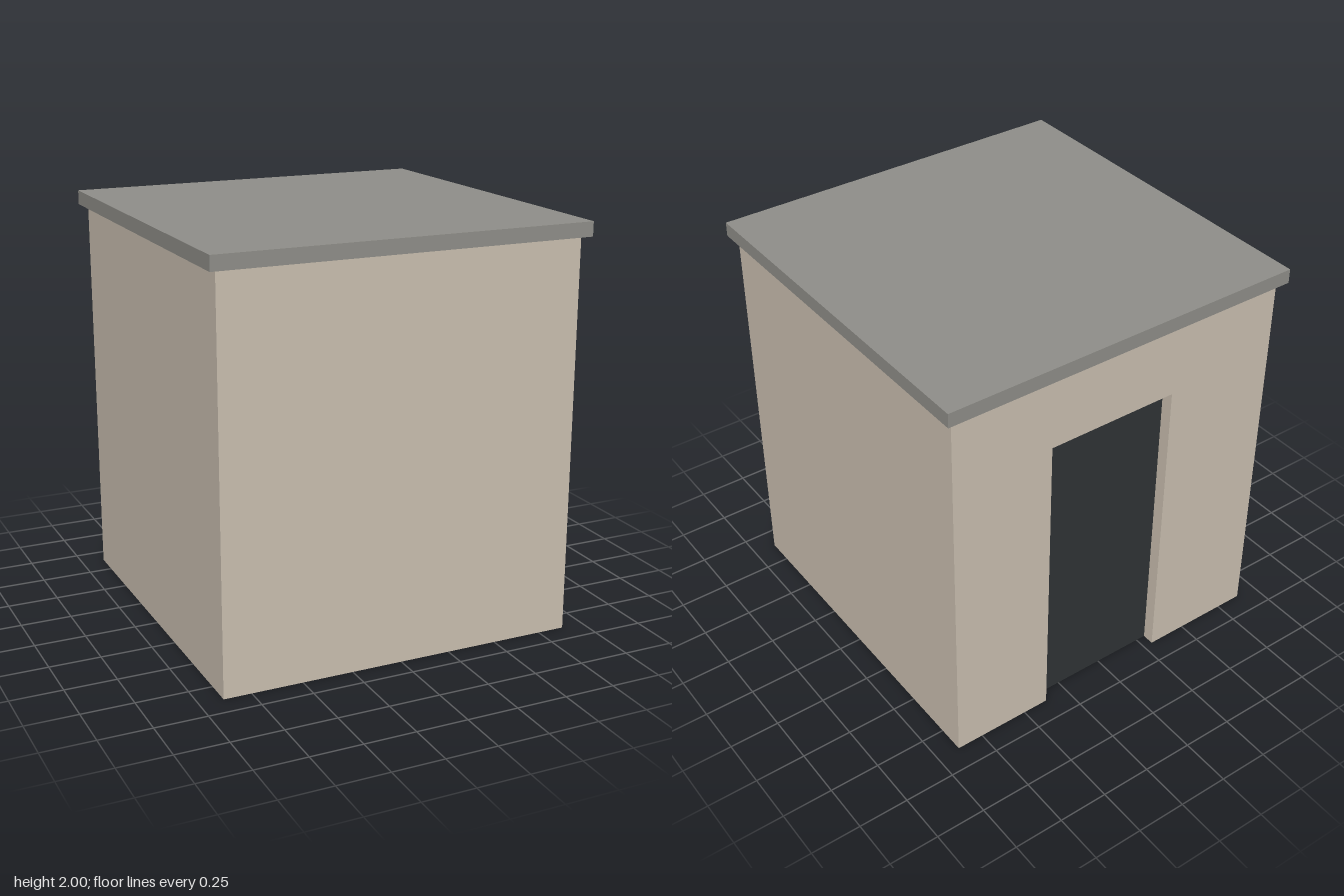
import * as THREE from 'three';

const HALF = 0.885;      // outer half width of the walls
const INNER = 0.74;      // inner half width of the room
const WALL_TOP = 1.93;
const DOOR = { left: 0.37, right: -0.3, top: 1.555 };

const mat = (color) => new THREE.MeshStandardMaterial({ color, flatShading: true });

function shapeFrom(points) {
  return new THREE.Shape(points.map(([x, y]) => new THREE.Vector2(x, y)));
}

function addMesh(group, name, geometry, material) {
  const mesh = new THREE.Mesh(geometry, material);
  mesh.name = name;
  group.add(mesh);
  return mesh;
}

export function createModel() {
  const model = new THREE.Group();
  model.name = 'shed';
  const wallMat = mat(0xcabfb0);

  // Front and side walls: U-shaped footprint (x, -z) raised to wall height
  const footprint = shapeFrom([
    [-HALF, -HALF], [HALF, -HALF], [HALF, INNER], [INNER, INNER],
    [INNER, -INNER], [-INNER, -INNER], [-INNER, INNER], [-HALF, INNER],
  ]);
  const uWalls = new THREE.ExtrudeGeometry(footprint, { depth: WALL_TOP, bevelEnabled: false });
  uWalls.rotateX(-Math.PI / 2);
  addMesh(model, 'frontAndSideWalls', uWalls, wallMat);

  // Back wall with a doorway open to the ground
  const backOutline = shapeFrom([
    [-HALF, 0], [DOOR.right, 0], [DOOR.right, DOOR.top], [DOOR.left, DOOR.top],
    [DOOR.left, 0], [HALF, 0], [HALF, WALL_TOP], [-HALF, WALL_TOP],
  ]);
  const backWall = new THREE.ExtrudeGeometry(backOutline, { depth: HALF - INNER, bevelEnabled: false });
  addMesh(model, 'backWall', backWall, wallMat).position.z = -HALF;

  // Door panel set into the doorway
  const panel = new THREE.BoxGeometry(DOOR.left - DOOR.right, DOOR.top, 0.03);
  addMesh(model, 'door', panel, mat(0x2f3335))
    .position.set((DOOR.left + DOOR.right) / 2, DOOR.top / 2, -0.81);

  // Flat overhanging roof slab
  const roof = new THREE.BoxGeometry(1.845, 2 - WALL_TOP, 1.845);
  addMesh(model, 'roof', roof, mat(0x8f8e89)).position.y = (2 + WALL_TOP) / 2;

  return model;
}
